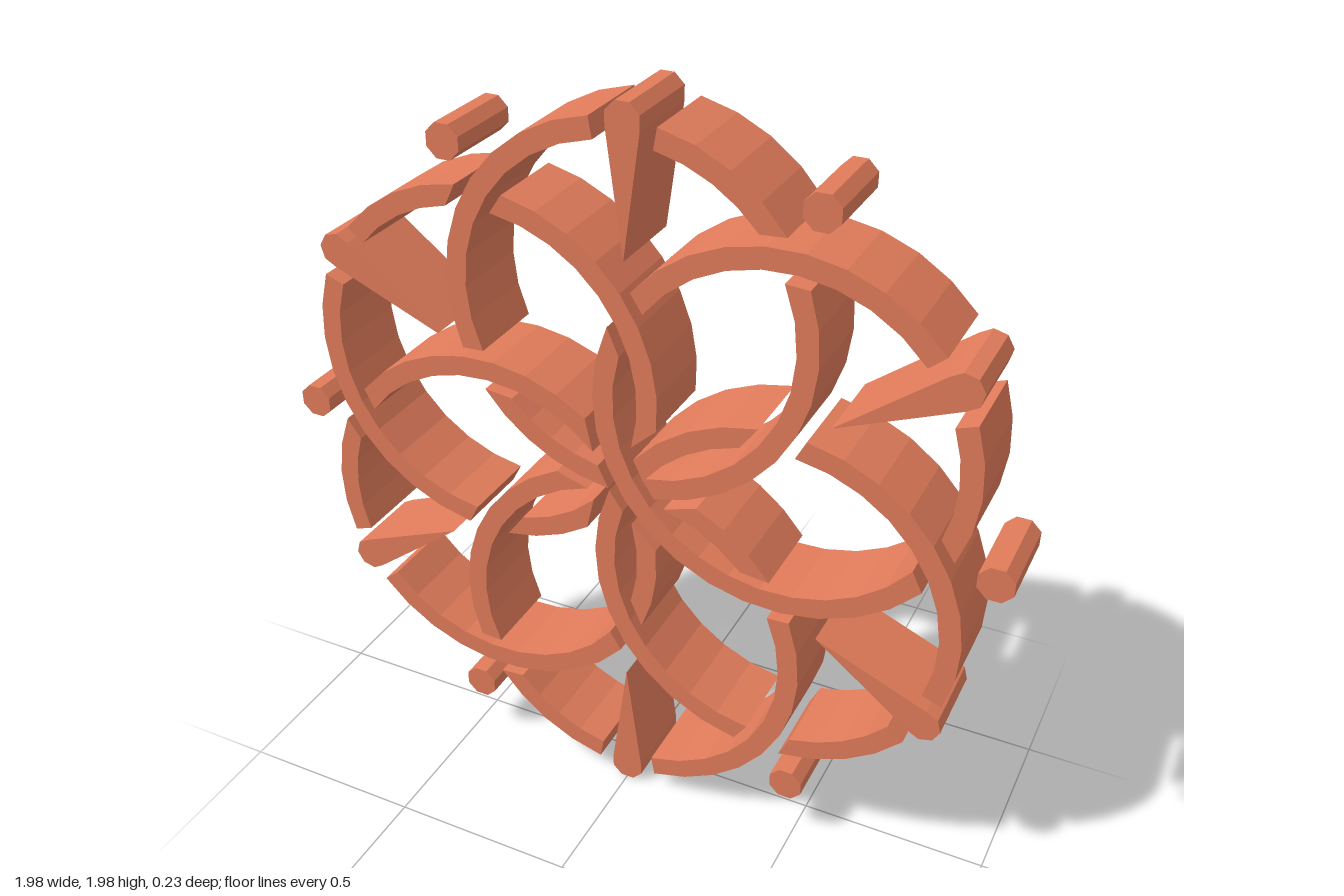
import * as THREE from 'three';

const RAD = Math.PI / 180;
const D = 0.4635;              // distance of each ring centre from the middle
const R_IN = 0.435, R_OUT = 0.49;
const GAP = 0.027;             // clearance beside a strand that passes over
const DEPTH = 0.23, HUB = 0.948;

const material = new THREE.MeshStandardMaterial({ color: 0xe07b5a });

function extrude(points, name) {
  const geo = new THREE.ExtrudeGeometry(new THREE.Shape(points), { depth: DEPTH, bevelEnabled: false });
  geo.translate(0, 0, -DEPTH / 2);
  const mesh = new THREE.Mesh(geo, material);
  mesh.name = name;
  return mesh;
}

const polar = (r, deg, cx = 0) => new THREE.Vector2(cx + r * Math.cos(deg * RAD), r * Math.sin(deg * RAD));

// End of a strand where it dives under the ring turned by `offset` degrees:
// gives, for an edge of radius r, the angle nearest `near` that meets the ring's clearance circle
function under(offset, outside, near) {
  const cutR = outside ? R_OUT + GAP : R_IN - GAP;
  const v = polar(D, offset).sub(polar(D, 0));
  const len = v.length(), dir = Math.atan2(v.y, v.x) / RAD;
  return (r) => {
    const half = Math.acos((r * r + len * len - cutR * cutR) / (2 * r * len)) / RAD;
    const options = [dir - half, dir + half].map((a) => near + ((((a - near + 180) % 360) + 360) % 360) - 180);
    return options.sort((a, b) => Math.abs(a - near) - Math.abs(b - near))[0];
  };
}
const at = (deg) => () => deg;

// Curved bar between two ends, on a ring centred at (D, 0)
function strand(from, to) {
  const edge = (r) => {
    const a = from(r), b = to(r), n = Math.max(2, Math.ceil((b - a) / 12));
    return Array.from({ length: n + 1 }, (_, i) => polar(r, a + ((b - a) * i) / n, D));
  };
  return extrude([...edge(R_OUT), ...edge(R_IN).reverse()], 'strand');
}

export function createModel() {
  const model = new THREE.Group();
  model.name = 'interlacedRosette';

  // Where each ring breaks at the middle; the first ring runs through unbroken
  const opposite = [under(180, true, 160), under(180, true, 200)];
  const middle = [
    null,
    [under(-60, true, 180), under(-60, false, 180)],
    opposite, opposite, opposite,
    [under(60, false, 180), under(60, true, 180)],
  ];

  for (let i = 0; i < 6; i++) {
    // Interlaced ring
    const ring = new THREE.Group();
    ring.name = 'ring';
    const start = under(120, false, 120), end = under(-60, false, 300);
    ring.add(strand(at(10), under(120, true, 120)));
    if (middle[i]) ring.add(strand(start, middle[i][0]), strand(middle[i][1], end));
    else ring.add(strand(start, end));
    ring.add(strand(under(-60, true, 300), at(350)));

    // Teardrop pointing at the middle
    const drop = [polar(0.61, 0)];
    for (let k = 0; k <= 5; k++) drop.push(polar(0.047, -112.5 + k * 45, HUB));
    ring.add(extrude(drop, 'teardrop'));
    ring.rotation.z = (30 + 60 * i) * RAD;

    // Peg between neighbouring rings
    const round = Array.from({ length: 8 }, (_, k) => polar(0.048, 22.5 + k * 45));
    const peg = extrude(round, 'peg');
    const p = polar(HUB, 60 * i);
    peg.position.set(p.x, p.y, 0);
    model.add(ring, peg);
  }

  model.children.forEach((part) => { part.position.y += 1; });
  return model;
}
